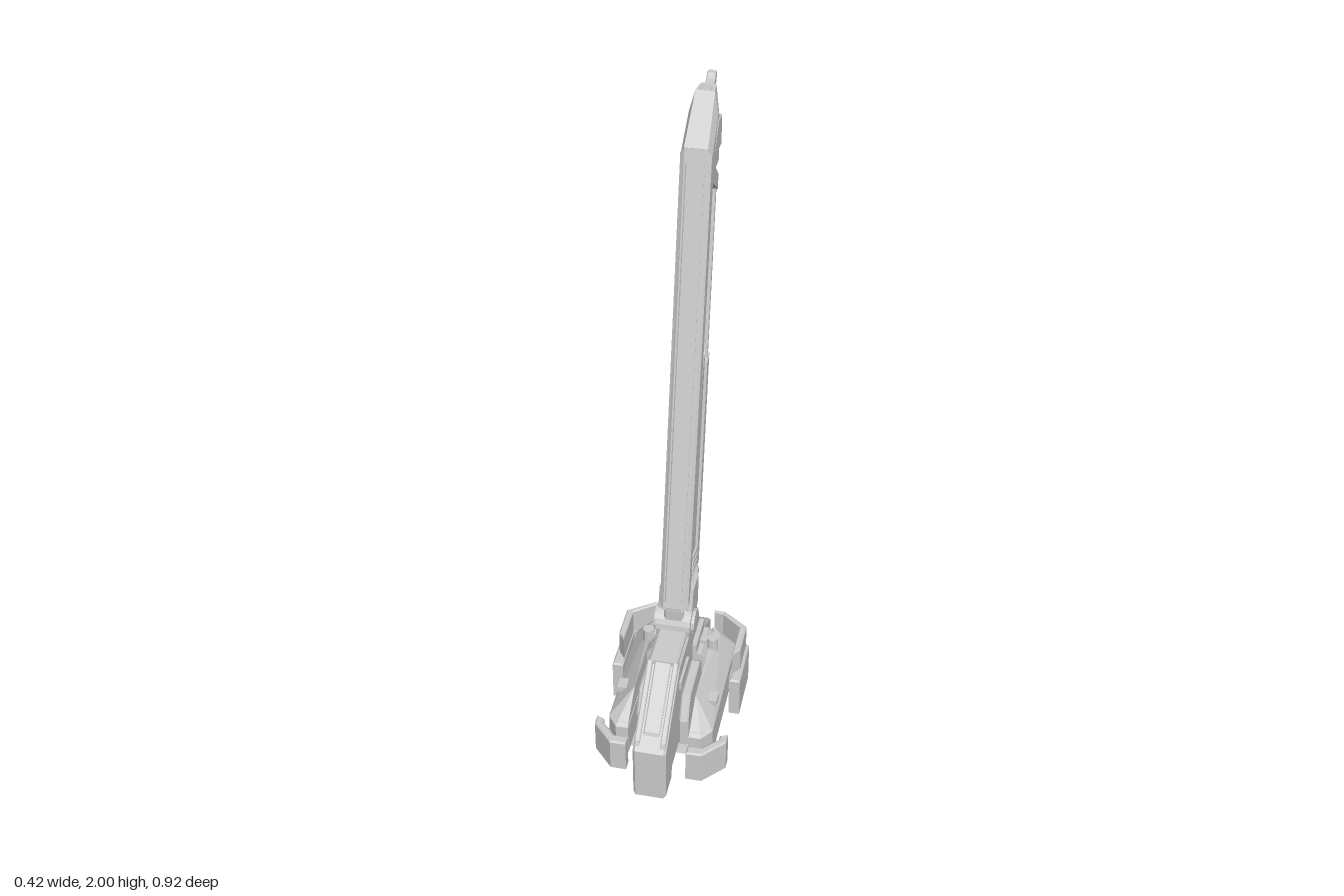
import * as THREE from 'three';
import { ConvexGeometry } from 'three/addons/geometries/ConvexGeometry.js';

const material = new THREE.MeshStandardMaterial({ color: 0xcccccc, flatShading: true });

function add(parent, name, geometry) {
  const mesh = new THREE.Mesh(geometry, material);
  mesh.name = name;
  parent.add(mesh);
  return mesh;
}

const toShape = (pts) => new THREE.Shape(pts.map(([a, b]) => new THREE.Vector2(a, b)));

// Extrude an outline with a chamfer that stays inside the given size.
function extrude(pts, depth, chamfer) {
  return new THREE.ExtrudeGeometry(toShape(pts), {
    depth: depth - 2 * chamfer, bevelEnabled: chamfer > 0, bevelThickness: chamfer,
    bevelSize: chamfer, bevelOffset: -chamfer, bevelSegments: 1,
  }).translate(0, 0, chamfer);
}

// Outline given as [z, y], extruded across x and centred on x.
function side(pts, width, chamfer = 0, x = 0) {
  return extrude(pts, width, chamfer).translate(0, 0, -width / 2).rotateY(-Math.PI / 2).translate(x, 0, 0);
}

// Outline given as [x, z], extruded upward from y0 to y1.
function plan(pts, y0, y1, chamfer = 0) {
  return extrude(pts.map(([x, z]) => [x, -z]), y1 - y0, chamfer).rotateX(-Math.PI / 2).translate(0, y0, 0);
}

// Symmetric convex block from [halfWidth, y, z] points.
function block(pts) {
  return new ConvexGeometry(pts.flatMap(([x, y, z]) => [new THREE.Vector3(x, y, z), new THREE.Vector3(-x, y, z)]));
}

const hull = (pts) => new ConvexGeometry(pts.map((p) => new THREE.Vector3(...p)));
const box = (w, h, d, x, y, z) => new THREE.BoxGeometry(w, h, d).translate(x, y, z);
const rod = (r, length, x, y, z, sides = 16) =>
  new THREE.CylinderGeometry(r, r, length, sides).rotateZ(Math.PI / 2).translate(x, y, z);

function createBase() {
  const base = new THREE.Group();
  base.name = 'base';
  // Chassis with a slot for the nose
  const half = [[0.095, 0.05], [0.095, 0.33], [0.135, 0.33], [0.165, 0.29], [0.165, -0.11], [0.125, -0.15]];
  const outline = [...half, ...half.map(([x, z]) => [-x, z]).reverse()];
  add(base, 'chassis', plan(outline, 0.03, 0.16, 0.012));
  add(base, 'underPlate', block([[0.1, 0.04, 0.3], [0.1, 0.04, -0.12], [0.06, 0.01, 0.22], [0.06, 0.01, -0.06]]));
  add(base, 'rearBlock', block([
    [0.06, 0, -0.1], [0.06, 0, -0.22], [0.045, 0, -0.24], [0.045, 0.13, -0.24],
    [0.06, 0.145, -0.22], [0.06, 0.2, -0.12], [0.06, 0.2, -0.05],
  ]));
  add(base, 'turntableDeck', block([
    [0.14, 0.155, 0.05], [0.14, 0.155, -0.1], [0.1, 0.155, -0.15],
    [0.08, 0.235, 0.05], [0.08, 0.235, -0.08],
  ]));

  // Nose: tall sloped spine with a recessed strip framed by rails
  add(base, 'nose', side([
    [0.46, 0], [0.46, 0.19], [0.43, 0.215], [0.25, 0.36], [0.06, 0.36], [0.02, 0.24],
    [0.02, 0.04], [0.36, 0.04], [0.37, 0],
  ], 0.104, 0.008));
  add(base, 'noseCap', side([[0.25, 0.35], [0.25, 0.375], [0.06, 0.375], [0.05, 0.35]], 0.09, 0.006));
  add(base, 'slopeBeam', side([[0.43, 0.2], [0.415, 0.235], [0.25, 0.37], [0.23, 0.35]], 0.052, 0.004));

  for (const s of [1, -1]) {
    add(base, 'slopeRail', side([[0.455, 0.18], [0.44, 0.218], [0.25, 0.375], [0.22, 0.355]], 0.016, 0.003, s * 0.04));
    add(base, 'noseFender', side([
      [0.27, 0.05], [0.27, 0.15], [0.23, 0.23], [0.08, 0.235], [0.04, 0.2], [0.04, 0.05],
    ], 0.03, 0.005, s * 0.068));
    add(base, 'noseVent', box(0.012, 0.03, 0.12, s * 0.054, 0.29, 0.2));
    add(base, 'sideDeck', hull([
      [0.165, 0.15, 0.29], [0.135, 0.15, 0.33], [0.097, 0.15, 0.33], [0.165, 0.15, -0.11], [0.125, 0.15, -0.15],
      [0.097, 0.15, -0.15], [0.097, 0.225, 0.22], [0.12, 0.2, 0.18], [0.12, 0.21, -0.08], [0.097, 0.225, -0.1],
    ].map(([x, y, z]) => [s * x, y, z])));
    add(base, 'deckRib', box(0.06, 0.02, 0.045, s * 0.13, 0.18, 0.18));

    // Angled corner guards
    const mirror = (pts) => pts.map(([x, z]) => [s * x, z]);
    add(base, 'frontGuard', plan(mirror([
      [0.21, 0.265], [0.21, 0.3], [0.145, 0.37], [0.095, 0.37], [0.095, 0.338], [0.138, 0.338], [0.185, 0.29], [0.185, 0.275],
    ]), 0, 0.12, 0.005));
    add(base, 'rearGuard', plan(mirror([
      [0.21, 0.06], [0.21, -0.115], [0.118, -0.18], [0.075, -0.18], [0.075, -0.16], [0.115, -0.157], [0.175, -0.105], [0.175, 0.06],
    ]), 0, 0.15, 0.005));
    add(base, 'rearGuardTop', plan(mirror([
      [0.2, 0.0], [0.2, -0.112], [0.118, -0.17], [0.085, -0.17], [0.085, -0.16], [0.115, -0.155], [0.178, -0.105], [0.178, 0.03],
    ]), 0.14, 0.235, 0.004));
    add(base, 'guardBracket', box(0.03, 0.05, 0.05, s * 0.175, 0.08, -0.02));
    add(base, 'guardBracket', box(0.03, 0.04, 0.03, s * 0.155, 0.07, 0.3));

    // Deck bollards
    add(base, 'bollard', new THREE.CylinderGeometry(0.018, 0.02, 0.07, 12).translate(s * 0.105, 0.22, -0.015));
    add(base, 'bollardArm', box(0.05, 0.022, 0.022, s * 0.08, 0.235, -0.015));
  }
  return base;
}

function createPivot() {
  const pivot = new THREE.Group();
  pivot.name = 'pivot';
  add(pivot, 'pedestal', side([
    [0.1, 0.22], [0.1, 0.28], [0.07, 0.34], [-0.02, 0.33], [-0.07, 0.31], [-0.09, 0.26], [-0.09, 0.22],
  ], 0.1, 0.008));
  add(pivot, 'neck', side([[0.09, 0.3], [0.1, 0.46], [-0.05, 0.46], [-0.03, 0.4], [-0.03, 0.3]], 0.06, 0.006));
  add(pivot, 'hingeDrum', rod(0.058, 0.108, 0, 0.375, 0.05, 20));
  add(pivot, 'rearPiston', rod(0.022, 0.09, 0, 0.32, -0.045, 12));
  for (const s of [1, -1]) {
    add(pivot, 'hingeCap', rod(0.042, 0.014, s * 0.057, 0.375, 0.05, 12));
    add(pivot, 'yokeArm', side([[0.08, 0.4], [0.05, 0.5], [-0.04, 0.5], [-0.03, 0.39], [0.03, 0.36]], 0.018, 0.004, s * 0.045));
    add(pivot, 'pedestalFoot', box(0.025, 0.04, 0.13, s * 0.053, 0.25, -0.015));
  }
  return pivot;
}

function createBoom() {
  const boom = new THREE.Group();
  boom.name = 'boom';
  const front = [[0.10, 0.45], [-0.22, 1.87]], rear = [[-0.075, 0.435], [-0.34, 1.76]];
  const mix = (a, b, t) => a.map((v, i) => v + (b[i] - v) * t);
  // t runs up the boom, u runs from its front edge to its rear edge
  const at = (t, u) => mix(mix(...front, t), mix(...rear, t), u);
  const panel = (name, width, chamfer, pts, x = 0) =>
    add(boom, name, side(pts.map(([t, u]) => at(t, u)), width, chamfer, x));

  panel('web', 0.05, 0, [[0.01, 0.1], [0.98, 0.1], [0.98, 0.9], [0.01, 0.9]]);
  panel('frontChord', 0.09, 0.013, [[0, 0], [1, 0], [1, 0.42], [0.03, 0.32], [0, 0.25]]);
  panel('frontCover', 0.055, 0.004, [[0.02, -0.03], [0.97, -0.03], [0.97, 0.1], [0.02, 0.1]]);
  panel('rearChord', 0.082, 0.009, [[0, 0.82], [0.99, 0.8], [0.99, 1], [0, 1]]);
  panel('footPlate', 0.094, 0.006, [[0, 0.2], [0.03, 0.2], [0.045, 0.4], [0.045, 0.98], [0, 0.98]]);
  panel('lowerPanel', 0.074, 0.005, [[0.03, 0.4], [0.4, 0.52], [0.56, 0.6], [0.59, 0.78], [0.03, 0.78]]);
  panel('upperPanel', 0.064, 0.005, [[0.6, 0.5], [0.94, 0.5], [0.94, 0.66], [0.61, 0.7]]);
  panel('rearStep', 0.088, 0.005, [[0.05, 0.76], [0.56, 0.76], [0.585, 1], [0.05, 1.01]]);
  panel('topCollar', 0.088, 0.006, [[0.94, 0.25], [0.99, 0.25], [0.99, 1.02], [0.95, 1.02]]);
  for (const s of [1, -1])
    for (let i = 0; i < 3; i++) {
      const t = 0.065 + i * 0.017;
      panel('ventSlat', 0.008, 0, [[t, 0.4], [t + 0.008, 0.4], [t + 0.008, 0.78], [t, 0.78]], s * 0.04);
    }
  return boom;
}

function createHead() {
  const head = new THREE.Group();
  head.name = 'boomHead';
  add(head, 'headShell', block([
    [0.034, 1.87, -0.222], [0.045, 1.85, -0.235], [0.045, 1.78, -0.23], [0.045, 1.79, -0.33],
    [0.028, 1.985, -0.35], [0.042, 1.93, -0.33], [0.022, 1.985, -0.4], [0.026, 1.8, -0.4], [0.04, 1.9, -0.36],
  ]));
  add(head, 'headRidge', side([[-0.235, 1.87], [-0.35, 1.975], [-0.355, 1.99], [-0.385, 1.988], [-0.38, 1.9]], 0.03, 0.003));
  add(head, 'headJaw', side([[-0.25, 1.74], [-0.24, 1.8], [-0.36, 1.8], [-0.34, 1.76], [-0.31, 1.7]], 0.062, 0.006));
  for (const s of [1, -1])
    add(head, 'cheekPlate', side([[-0.25, 1.82], [-0.32, 1.91], [-0.37, 1.91], [-0.37, 1.82]], 0.01, 0.002, s * 0.04));
  // Hanging blade with hooked tip
  add(head, 'blade', side([
    [-0.395, 1.98], [-0.43, 1.985], [-0.44, 2], [-0.457, 2], [-0.458, 1.985], [-0.437, 1.95],
    [-0.435, 1.71], [-0.425, 1.71], [-0.415, 1.8], [-0.395, 1.82],
  ], 0.026, 0.003));
  add(head, 'bladeClamp', side([[-0.34, 1.79], [-0.41, 1.8], [-0.415, 1.7], [-0.405, 1.68], [-0.39, 1.73], [-0.365, 1.7], [-0.36, 1.75]], 0.03, 0.003));
  add(head, 'clampPin', rod(0.012, 0.05, 0, 1.76, -0.38, 10));
  return head;
}

export function createModel() {
  const model = new THREE.Group();
  model.name = 'craneTower';
  model.add(createBase(), createPivot(), createBoom(), createHead());
  return model;
}
